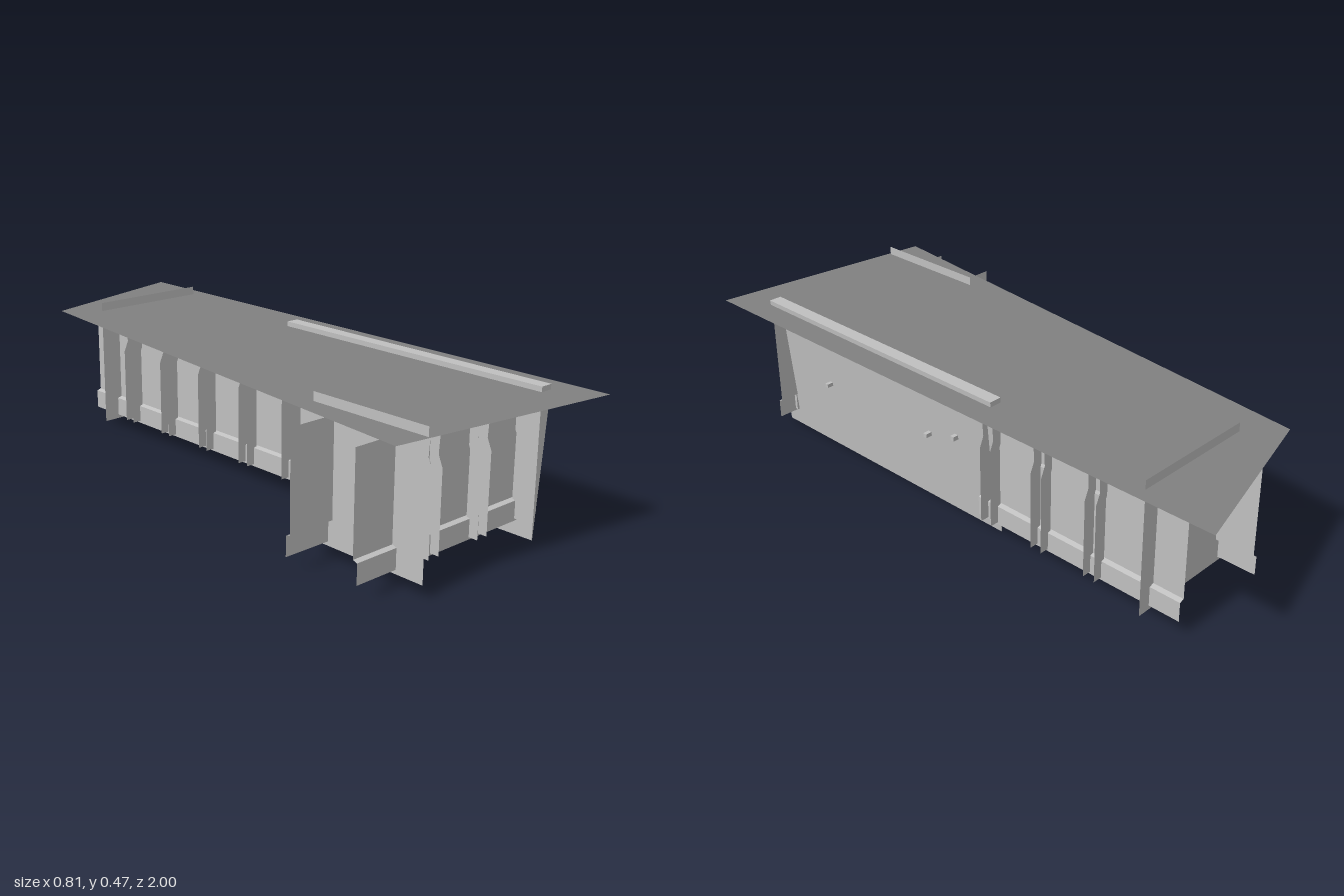
import * as THREE from 'three';

export function createModel() {
  const model = new THREE.Group();
  model.name = 'building';
  const mat = (name, color) => {
    const m = new THREE.MeshStandardMaterial({ color, side: THREE.DoubleSide });
    m.name = name;
    return m;
  };
  const wallGrey = mat('wall grey', 0xc0c0c0);
  const roofGrey = mat('roof grey', 0x808080);

  const add = (parent, name, geometry, material = wallGrey) => {
    const mesh = new THREE.Mesh(geometry, material);
    mesh.name = name;
    parent.add(mesh);
    return mesh;
  };

  // Sheet that runs along x and follows a profile of [out, y] points
  const sheet = (profile, x0, x1) => {
    const v = [];
    for (let i = 0; i + 1 < profile.length; i++) {
      const [a, ay] = profile[i], [b, by] = profile[i + 1];
      v.push(x0, ay, a, x0, by, b, x1, by, b, x0, ay, a, x1, by, b, x1, ay, a);
    }
    const g = new THREE.BufferGeometry();
    g.setAttribute('position', new THREE.Float32BufferAttribute(v, 3));
    g.computeVertexNormals();
    return g;
  };

  const wallProfile = [[0, 0.422], [0, 0.12], [0.015, 0.115], [0.015, 0.053]];
  const innerEdge = [[0, 0.437], [-0.013, 0.355], [0.004, 0.315], [0.004, 0.06]];
  const outerEdge = [[0.045, 0.06], [0.045, 0.31], [0.03, 0.345], [0.036, 0.437]];

  // Open channel: a kinked back sheet and two fins
  const finGeometry = new THREE.ShapeGeometry(
    new THREE.Shape([...innerEdge, ...outerEdge].map(p => new THREE.Vector2(...p))));
  finGeometry.rotateY(-Math.PI / 2);
  const addPilaster = (parent, x) => {
    const pilaster = new THREE.Group();
    pilaster.name = 'pilaster';
    pilaster.position.x = x;
    add(pilaster, 'pilasterBack', sheet(innerEdge, -0.02, 0.02));
    for (const s of [-1, 1]) add(pilaster, 'pilasterFin', finGeometry).position.x = s * 0.02;
    parent.add(pilaster);
  };

  // Wall with a stepped base; local x runs along it and local z points outward
  const addWall = (name, x, z, turn, x0, x1, pilasters) => {
    const wall = new THREE.Group();
    wall.name = name;
    wall.position.set(x, 0, z);
    wall.rotation.y = turn;
    add(wall, 'steppedPanel', sheet(wallProfile, x0, x1));
    pilasters.forEach(p => addPilaster(wall, p));
    model.add(wall);
  };
  const q = Math.PI / 2;
  addWall('frontWall', 0, 0.8, 0, -0.392, 0.358, [-0.13, 0.072, 0.275]);
  addWall('rightWall', 0.302, 0, q, 0.1, 0.852, [0.16, 0.36, 0.56]);
  addWall('leftWall', 0.02, 0, -q, -0.878, 0.62, [-0.64, -0.44, -0.24, -0.04, 0.16, 0.36]);
  addWall('wingRearWall', 0, 0.58, 2 * q, -0.06, 0.404, [0.19]);

  // Plain end walls rising through the roof
  const back = add(model, 'backEndWall', new THREE.PlaneGeometry(0.408, 0.43));
  back.position.set(0.154, 0.255, -0.75);
  back.rotation.y = Math.PI;
  const end = add(model, 'leftEndWall', new THREE.PlaneGeometry(0.408, 0.43));
  end.position.set(-0.245, 0.255, 0.704);
  end.rotation.y = -q;

  // Long leaning wall, thin at the foot and wide at the top
  const wedge = new THREE.Shape([[0.28, 0], [0.282, 0], [0.322, 0.458], [0.28, 0.458]]
    .map(p => new THREE.Vector2(...p)));
  add(model, 'leaningWall', new THREE.ExtrudeGeometry(wedge, { depth: 1.022, bevelEnabled: false }))
    .position.z = -0.16;

  // Small pegs on the leaning wall
  for (const [y, z, size] of [[0.24, 0.59, 0.012], [0.24, 0.12, 0.013], [0.277, 0, 0.014]]) {
    add(model, 'peg', new THREE.BoxGeometry(0.04, size, size)).position.set(0.305, y, z);
  }

  // Interior shelf
  add(model, 'shelf', new THREE.BoxGeometry(0.08, 0.008, 0.2)).position.set(0.065, 0.1, 0.33);

  // Flat tapered roof
  const roof = new THREE.Shape([[-0.357, -0.9], [0.402, -1], [0.402, 1], [-0.155, 0.845]]
    .map(p => new THREE.Vector2(...p)));
  const roofMesh = add(model, 'roof', new THREE.ShapeGeometry(roof), roofGrey);
  roofMesh.rotation.x = -q;
  roofMesh.position.y = 0.442;

  return model;
}
